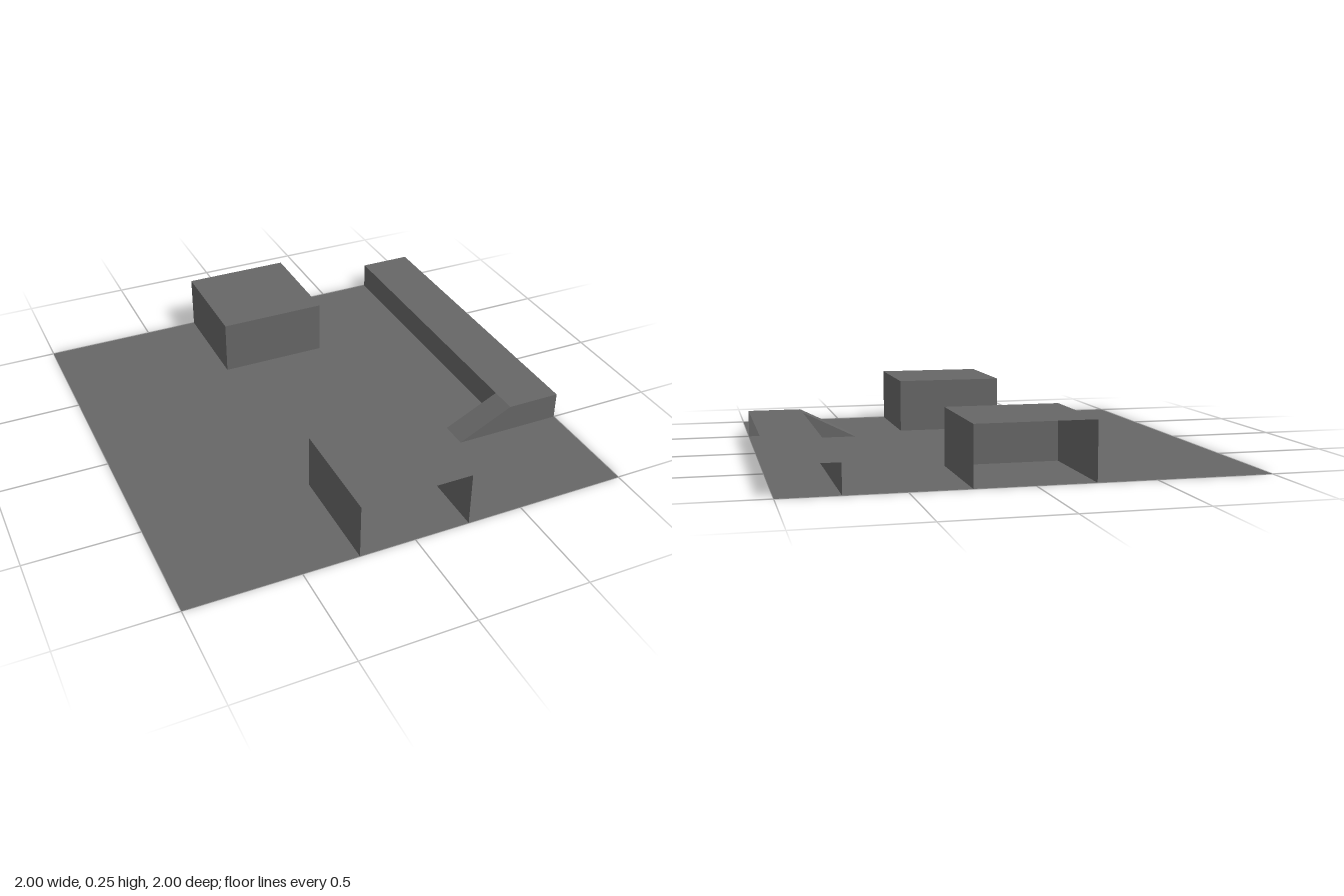
import * as THREE from 'three';

const grey = new THREE.MeshStandardMaterial({ color: 0x666666, side: THREE.DoubleSide });
grey.name = 'concrete grey';

// Flat convex panel from corners listed counter-clockwise as seen from outside
function panel(name, corners) {
  const geometry = new THREE.BufferGeometry().setFromPoints(corners.map((c) => new THREE.Vector3(...c)));
  const index = [];
  for (let i = 1; i < corners.length - 1; i++) index.push(0, i, i + 1);
  geometry.setIndex(index);
  geometry.computeVertexNormals();
  const mesh = new THREE.Mesh(geometry, grey);
  mesh.name = name;
  return mesh;
}

// Hollow block with its outer end open, on the +z edge of the floor
function makeBlock(name) {
  const w = 0.25, h = 0.25, zIn = 0.5, zOut = 1;
  const block = new THREE.Group();
  block.name = name;
  block.add(
    panel('blockTop', [[-w, h, zOut], [w, h, zOut], [w, h, zIn], [-w, h, zIn]]),
    panel('blockInnerWall', [[w, 0, zIn], [-w, 0, zIn], [-w, h, zIn], [w, h, zIn]]),
    panel('blockLeftWall', [[w, 0, zOut], [w, 0, zIn], [w, h, zIn], [w, h, zOut]]),
    panel('blockRightWall', [[-w, 0, zIn], [-w, 0, zOut], [-w, h, zOut], [-w, h, zIn]])
  );
  return block;
}

// Raised ledge along the +x edge, open outward and behind, with a short ramp up
function makeLedge() {
  const h = 0.125, foot = 0.5, xIn = 0.75, xOut = 1, back = -1, mid = 0.375, front = 0.5;
  const ledge = new THREE.Group();
  ledge.name = 'ledge';
  ledge.add(
    panel('ledgeTop', [[xIn, h, front], [xOut, h, front], [xOut, h, back], [xIn, h, back]]),
    panel('ledgeWall', [[xIn, 0, back], [xIn, 0, mid], [xIn, h, mid], [xIn, h, back]]),
    panel('rampSlope', [[foot, 0, front], [xIn, h, front], [xIn, h, mid], [foot, 0, mid]]),
    panel('rampBackSide', [[xIn, 0, mid], [foot, 0, mid], [xIn, h, mid]]),
    panel('ledgeFront', [[foot, 0, front], [xOut, 0, front], [xOut, h, front], [xIn, h, front]])
  );
  return ledge;
}

export function createModel() {
  const model = new THREE.Group();
  model.name = 'floorSection';

  const floor = panel('floor', [[-1, 0, 1], [1, 0, 1], [1, 0, -1], [-1, 0, -1]]);
  const frontBlock = makeBlock('frontBlock');
  const backBlock = makeBlock('backBlock');
  backBlock.rotation.y = Math.PI;

  model.add(floor, frontBlock, backBlock, makeLedge());
  return model;
}
